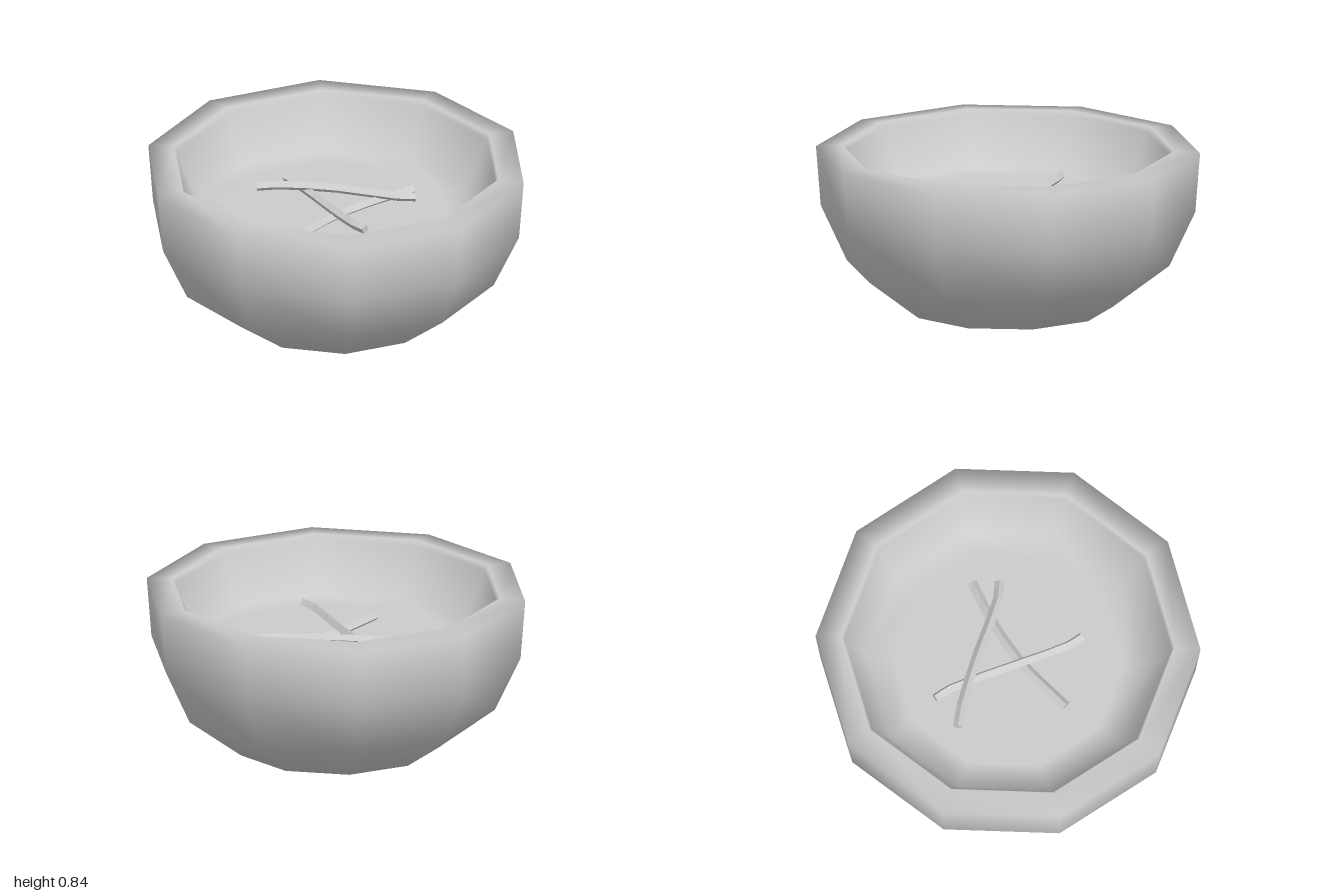
import * as THREE from 'three';

const material = (flatShading) => new THREE.MeshStandardMaterial({ color: 0xcccccc, flatShading });

// Square bar bent along a curve through the given points
function makeStick(name, points, roll) {
  const curve = new THREE.CatmullRomCurve3(points.map((p) => new THREE.Vector3(...p)));
  const geometry = new THREE.BoxGeometry(1, 0.036, 0.036, 8, 1, 1);
  geometry.rotateX(roll);
  const pos = geometry.attributes.position;
  const up = new THREE.Vector3(0, 1, 0);
  for (let i = 0; i < pos.count; i++) {
    const t = THREE.MathUtils.clamp(pos.getX(i) + 0.5, 0, 1);
    const side = curve.getTangent(t).cross(up).normalize();
    const p = curve.getPoint(t).addScaledVector(up, pos.getY(i)).addScaledVector(side, pos.getZ(i));
    pos.setXYZ(i, p.x, p.y, p.z);
  }
  geometry.computeVertexNormals();
  const mesh = new THREE.Mesh(geometry, material(true));
  mesh.name = name;
  return mesh;
}

export function createModel() {
  const model = new THREE.Group();
  model.name = 'bowl';

  // Ten-sided bowl: base, outer wall, rim, inner wall and filled floor
  const profile = [
    [0, 0], [0.545, 0], [0.84, 0.225], [0.975, 0.515], [1, 0.83],
    [0.865, 0.84], [0.85, 0.81], [0.74, 0.555], [0.6, 0.55], [0, 0.55],
  ].map(([r, y]) => new THREE.Vector2(r, y));
  const bowl = new THREE.Mesh(new THREE.LatheGeometry(profile, 10), material(false));
  bowl.name = 'bowlShell';
  model.add(bowl);

  // Three crossed sticks lying on the floor
  model.add(
    makeStick('lowerStick', [[-0.24, 0.565, 0.31], [-0.02, 0.565, 0.08], [0.18, 0.565, -0.07], [0.42, 0.57, -0.2]], 0.8),
    makeStick('middleStick', [[-0.23, 0.585, -0.37], [-0.17, 0.58, -0.29], [-0.03, 0.6, 0.05], [0.07, 0.63, 0.31], [0.12, 0.635, 0.38]], 0.5),
    makeStick('upperStick', [[-0.39, 0.6, -0.245], [-0.27, 0.61, -0.23], [0.02, 0.615, -0.155], [0.32, 0.6, -0.065], [0.42, 0.595, -0.06]], 0.8),
  );
  return model;
}
